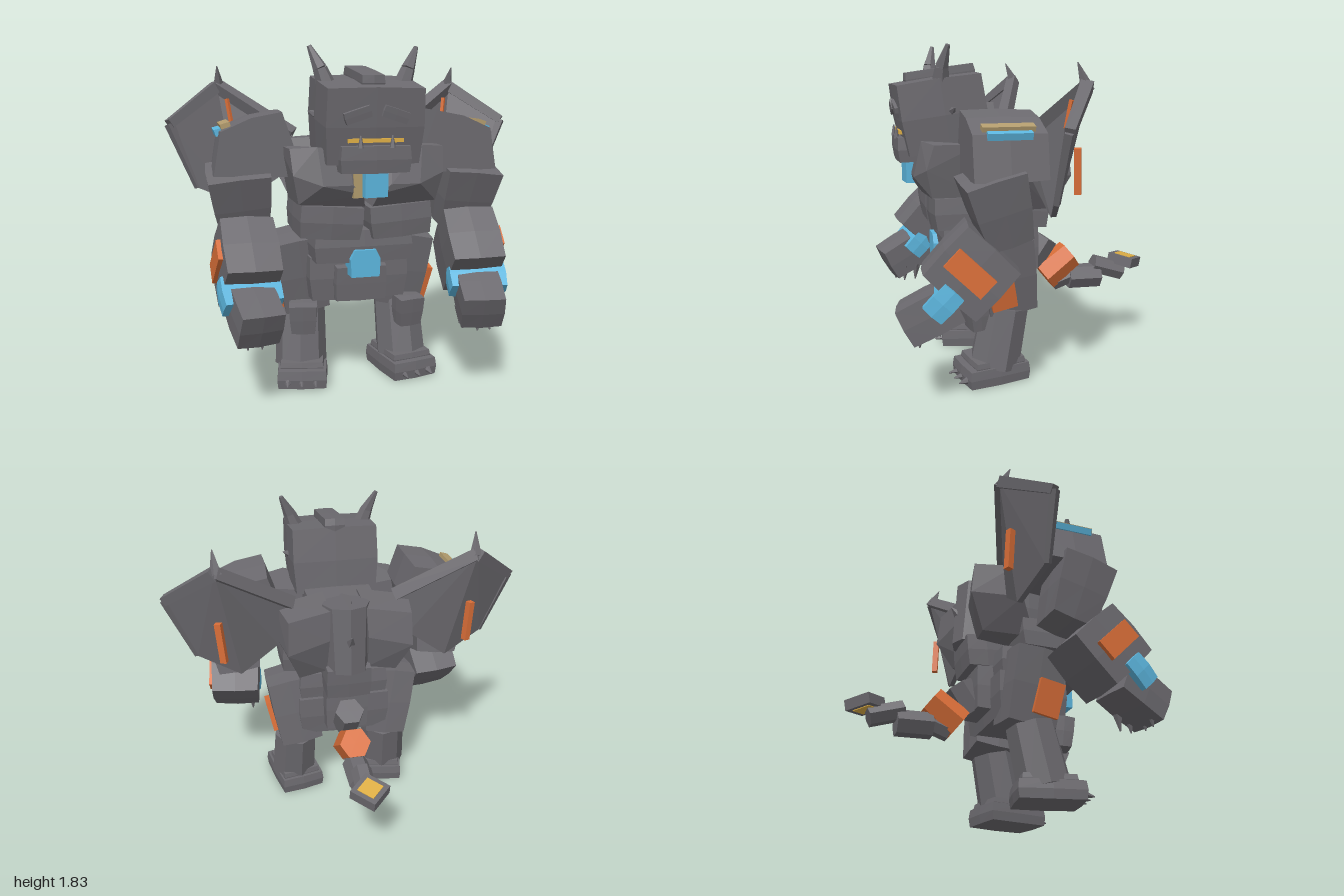
import * as THREE from 'three';
import { ConvexGeometry } from 'three/addons/geometries/ConvexGeometry.js';

const paint = (name, color) => {
  const m = new THREE.MeshStandardMaterial({ color });
  m.name = name;
  return m;
};

export function createModel() {
  const model = new THREE.Group();
  model.name = 'hornedRobotBeast';
  const stone = paint('stoneGrey', 0x6c6a6f);
  const blue = paint('skyBlue', 0x5cb6de);
  const orange = paint('burntOrange', 0xd96e38);
  const tan = paint('tan', 0xb39c6e);
  const gold = paint('gold', 0xdfaf45);

  // Adds a faceted mesh; yaw is applied after pitch and roll
  function add(name, geo, mat, pos = [0, 0, 0], rot = [0, 0, 0]) {
    const g = geo.index ? geo.toNonIndexed() : geo;
    g.computeVertexNormals();
    const mesh = new THREE.Mesh(g, mat);
    mesh.name = name;
    mesh.position.set(...pos);
    mesh.rotation.set(...rot, 'YXZ');
    model.add(mesh);
    return mesh;
  }

  // Armour block with slightly swollen faces; taper scales the bottom end
  function block(name, mat, [w, h, d], pos, rot, taper = 1) {
    const g = new THREE.BoxGeometry(w, h, d, 2, 2, 2);
    const p = g.attributes.position;
    for (let i = 0; i < p.count; i++) {
      const v = [p.getX(i), p.getY(i), p.getZ(i)];
      const edges = v.filter((c) => Math.abs(c) > 1e-5).length - 1;
      const k = 1 - 0.035 * edges;
      const t = 1 + (taper - 1) * (0.5 - v[1] / h);
      p.setXYZ(i, v[0] * k * t, v[1] * k, v[2] * k * t);
    }
    return add(name, g, mat, pos, rot);
  }

  const plate = (name, mat, size, pos, rot) =>
    add(name, new THREE.BoxGeometry(...size), mat, pos, rot);

  // Tapered prism between two points
  function limb(name, mat, from, to, r0, r1, sides = 6) {
    const a = new THREE.Vector3(...from), b = new THREE.Vector3(...to);
    const dir = b.clone().sub(a);
    const geo = new THREE.CylinderGeometry(r1, r0, dir.length(), sides).rotateY(Math.PI / 2);
    const mesh = add(name, geo, mat);
    mesh.position.copy(a).add(b).multiplyScalar(0.5);
    mesh.quaternion.setFromUnitVectors(new THREE.Vector3(0, 1, 0), dir.normalize());
    return mesh;
  }

  // Convex solid through points
  const hull = (name, mat, pts) =>
    add(name, new ConvexGeometry(pts.map((p) => new THREE.Vector3(...p))), mat);

  // Thin wing membrane: outline thickened along z
  const membrane = (name, pts) =>
    hull(name, stone, pts.flatMap(([x, y, z]) => [[x, y, z - 0.015], [x, y, z + 0.015]]));

  // Head
  block('head', stone, [0.52, 0.4, 0.48], [0, 1.47, 0.475], [0.14, 0, 0], 0.97);
  block('jaw', stone, [0.37, 0.14, 0.33], [0, 1.29, 0.56], [0.05, 0, 0]);
  block('headCrest', stone, [0.12, 0.08, 0.4], [0, 1.675, 0.465], [0.14, 0, 0]);
  plate('mouth', gold, [0.28, 0.02, 0.03], [0, 1.375, 0.693], [0, 0, 0]);
  block('neck', stone, [0.22, 0.25, 0.2], [0, 1.25, 0.34], [0, 0, 0]);

  // Throat panels
  plate('throatPanel', blue, [0.12, 0.13, 0.1], [0.01, 1.155, 0.625], [0, 0.1, 0]);
  plate('throatTrim', tan, [0.05, 0.14, 0.1], [-0.075, 1.155, 0.59], [0, 0.1, 0]);

  // Torso core
  block('torsoCore', stone, [0.4, 0.32, 0.4], [0, 1.19, 0.22], [0, 0, 0]);
  block('waist', stone, [0.55, 0.18, 0.5], [0, 0.805, 0.26], [0, 0, 0]);
  block('pelvis', stone, [0.58, 0.26, 0.42], [0, 0.61, 0.2], [0, 0, 0], 0.95);
  block('loinPlate', stone, [0.29, 0.2, 0.08], [0, 0.59, 0.41], [0.08, 0, 0]);
  hull('beltGem', blue, [[-0.06, 0.79], [0.06, 0.79], [0.085, 0.74], [0.08, 0.645], [-0.08, 0.645], [-0.085, 0.74]]
    .flatMap(([x, y]) => [[x, y, 0.42], [x * 0.95, y, 0.53]]));

  // Spine
  limb('upperSpine', stone, [0, 0.97, -0.07], [0, 1.36, -0.03], 0.12, 0.135, 8);
  block('lowerSpine', stone, [0.27, 0.2, 0.24], [0, 0.91, -0.02], [-0.1, 0, 0]);
  block('sacrum', stone, [0.26, 0.28, 0.2], [0, 0.69, 0.02], [0, 0, 0]);
  limb('upperSpineSpike', stone, [0, 1.34, 0.02], [0, 1.37, -0.15], 0.055, 0.003, 5);
  limb('lowerSpineSpike', stone, [0, 1.16, -0.14], [0, 1.22, -0.2], 0.04, 0.003, 5);

  // Tail
  limb('tailRoot', stone, [0, 0.57, -0.05], [0, 0.72, -0.15], 0.085, 0.085);
  limb('tailCollar', orange, [0, 0.48, -0.145], [0, 0.605, -0.31], 0.1, 0.09);
  [[0.435, -0.2, 0.48, -0.33, 0.055], [0.46, -0.3, 0.455, -0.5, 0.075], [0.53, -0.46, 0.47, -0.65, 0.058]]
    .forEach(([y0, z0, y1, z1, r], i) => limb('tailSegment' + (i + 1), stone, [0, y0, z0], [0, y1, z1], r, r));
  limb('tailTip', stone, [0, 0.511, -0.664], [0, 0.569, -0.676], 0.11, 0.11, 4);
  limb('tailTipInlay', gold, [0, 0.507, -0.663], [0, 0.573, -0.677], 0.072, 0.072, 4);

  for (const s of [1, -1]) {
    const side = s > 0 ? 'left' : 'right';
    const n = (part) => side + part;

    // Face details
    block(n('Eye'), stone, [0.14, 0.06, 0.04], [s * 0.095, 1.5, 0.71], [0.14, 0, -s * 0.32]);
    limb(n('Tooth'), stone, [s * 0.08, 1.34, 0.715], [s * 0.08, 1.4, 0.715], 0.016, 0.004, 5);
    limb(n('EarSpike'), stone, [s * 0.24, 1.49, 0.44], [s * 0.285, 1.51, 0.43], 0.025, 0.002, 5);
    limb(n('HornBase'), stone, [s * 0.19, 1.61, 0.49], [s * 0.23, 1.72, 0.485], 0.055, 0.037);
    limb(n('HornTip'), stone, [s * 0.23, 1.72, 0.485], [s * 0.28, 1.83, 0.46], 0.037, 0.012);

    // Chest, belly and back plates
    hull(n('ChestPlate'), stone, [
      [0.42, 1.33, 0.33], [0.4, 1.33, 0.56], [0.11, 1.29, 0.61], [0.09, 1.3, 0.3], [0.39, 1.2, 0.6],
      [0.1, 1.15, 0.645], [0.37, 1.05, 0.3], [0.36, 1.05, 0.57], [0.02, 1.03, 0.58], [0.02, 1.04, 0.3],
      [0.25, 1.15, 0.65], [0.04, 1.1, 0.63], [0.27, 1.34, 0.61],
    ].map(([x, y, z]) => [s * x, y, z]));
    block(n('BellyPlate'), stone, [0.35, 0.18, 0.47], [s * 0.185, 0.945, 0.335], [0, 0, s * 0.08], 0.95);
    hull(n('BackPlate'), stone, [
      [0.1, 1.35, -0.11], [0.34, 1.33, -0.17], [0.38, 1.34, 0.06], [0.1, 1.36, 0.15], [0.11, 1.18, -0.13],
      [0.35, 1.14, -0.19], [0.39, 1.14, 0.1], [0.12, 0.97, -0.08], [0.28, 0.95, -0.1], [0.3, 0.95, 0.2], [0.1, 0.95, 0.2],
    ].map(([x, y, z]) => [s * x, y, z]));

    // Shoulder pad: cross-section swept along z, fullest in the middle
    const pad = [[0.41, 1.51], [0.57, 1.48], [0.73, 1.41], [0.77, 1.18], [0.38, 1.17], [0.35, 1.33]];
    hull(n('ShoulderPad'), stone, [[0.06, 0.95], [0.25, 1], [0.43, 0.97]].flatMap(([z, k]) =>
      pad.map(([x, y]) => [s * (0.56 + (x - 0.56) * k), 1.34 + (y - 1.34) * k, z])));
    plate(n('ShoulderTrim'), tan, [0.05, 0.025, 0.26], [s * 0.695, 1.437, 0.25], [0, 0, -s * 0.3]);
    plate(n('ShoulderLight'), blue, [0.035, 0.035, 0.22], [s * 0.731, 1.402, 0.25], [0, 0, -s * 0.3]);

    // Arm, turned slightly inward
    block(n('UpperArm'), stone, [0.34, 0.37, 0.32], [s * 0.62, 1.04, 0.285], [0.27, 0, -s * 0.1], 0.76);
    block(n('Forearm'), stone, [0.295, 0.34, 0.37], [s * 0.615, 0.74, 0.427], [-0.77, -s * 0.15, s * 0.05]);
    plate(n('ForearmPanel'), orange, [0.03, 0.115, 0.24], [s * 0.763, 0.755, 0.455], [-0.77, -s * 0.15, s * 0.05]);
    block(n('Wrist'), blue, [0.315, 0.17, 0.13], [s * 0.61, 0.61, 0.56], [-0.77, -s * 0.18, 0]);
    block(n('Hand'), stone, [0.23, 0.3, 0.21], [s * 0.6, 0.532, 0.62], [-1.1, -s * 0.25, s * 0.05]);
    [[0.51, 0.63], [0.57, 0.68], [0.64, 0.68], [0.52, 0.56]].forEach(([x, z], i) =>
      limb(n('Claw' + (i + 1)), stone, [s * x, 0.46, z], [s * x, 0.36, z + 0.01], 0.028, 0.004, 5));

    // Leg, toes turned out
    block(n('Thigh'), stone, [0.28, 0.44, 0.3], [s * 0.29, 0.62, 0.165], [0.12, 0, -s * 0.15], 0.95);
    plate(n('ThighPanel'), orange, [0.03, 0.19, 0.14], [s * 0.427, 0.53, 0.215], [0.2, 0, -s * 0.2]);
    block(n('Knee'), stone, [0.16, 0.17, 0.12], [s * 0.3, 0.385, 0.335], [0.1, s * 0.2, 0], 0.85);
    add(n('Shin'), new THREE.CylinderGeometry(0.135, 0.145, 0.34, 8), stone, [s * 0.29, 0.25, 0.2], [-0.2, s * 0.2, 0]);
    block(n('Ankle'), stone, [0.245, 0.06, 0.3], [s * 0.29, 0.11, 0.24], [0, s * 0.2, 0]);
    block(n('Foot'), stone, [0.28, 0.105, 0.37], [s * 0.29, 0.055, 0.25], [0, s * 0.2, 0]);
    [0.26, 0.335, 0.41].forEach((x, i) =>
      limb(n('ToeClaw' + (i + 1)), stone, [s * (x - 0.01), 0.045, 0.4], [s * x, 0.035, 0.485 - i * 0.015], 0.022, 0.004, 6));

    // Folded wing: two membranes meeting at a crease, with spars along the top
    const fold = [s * 0.7, 1.63, -0.14], tip = [s * 0.97, 1.43, 0.04], root = [s * 0.3, 1.36, 0.03];
    const low = [s * 0.6, 0.97, -0.01], outer = [s * 0.83, 1.08, 0.05];
    membrane(n('OuterWing'), [fold, tip, outer, low]);
    membrane(n('InnerWing'), [fold, root, [s * 0.38, 1.12, 0.02], low]);
    limb(n('OuterWingSpar'), stone, fold, tip, 0.045, 0.035, 4);
    limb(n('InnerWingSpar'), stone, root, fold, 0.05, 0.045, 4);
    limb(n('WingEdge'), stone, tip, outer, 0.028, 0.02, 4);
    limb(n('WingSpike'), stone, [s * 0.69, 1.62, -0.14], [s * 0.7, 1.74, -0.09], 0.035, 0.003, 5);
    limb(n('RearWingLight'), orange, [s * 0.705, 1.33, -0.095], [s * 0.69, 1.1, -0.105], 0.025, 0.025, 4);
    limb(n('FrontWingLight'), orange, [s * 0.65, 1.56, -0.08], [s * 0.63, 1.42, -0.06], 0.013, 0.013, 4);
  }
  return model;
}
